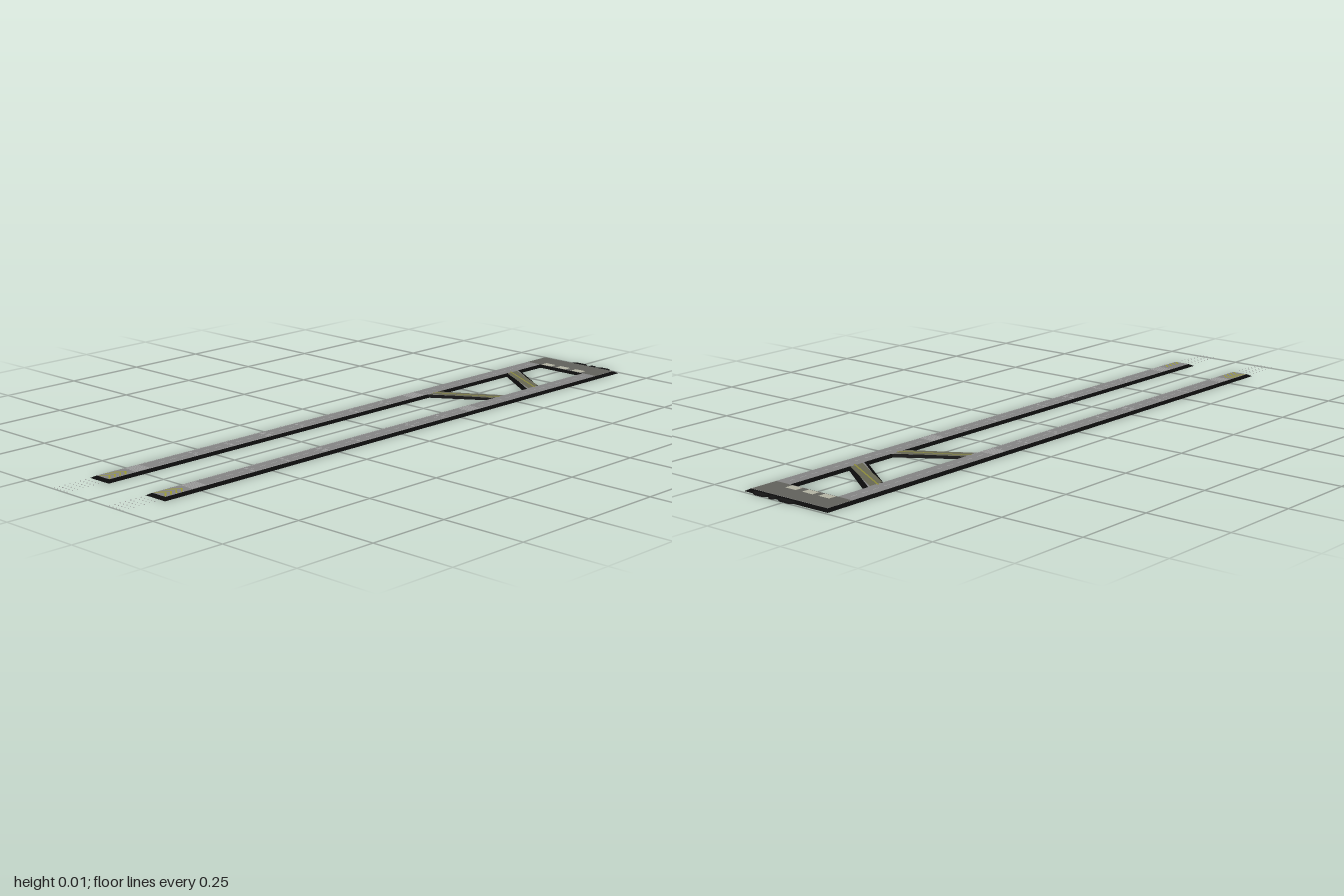
import * as THREE from 'three';
import { mergeGeometries } from 'three/addons/utils/BufferGeometryUtils.js';

const TOP = 0.0065, BEVEL = 0.012;
const MARK = TOP + 0.0004;

function mat(color) {
  return new THREE.MeshStandardMaterial({ color, side: THREE.DoubleSide, flatShading: true });
}
function add(group, name, geometry, color) {
  const mesh = new THREE.Mesh(geometry, mat(color));
  mesh.name = name;
  group.add(mesh);
}

// Points are plan [x, z] pairs; shapes use (x, -z) and are laid flat.
function toLoop(points, clockwise) {
  const loop = points.map(([x, z]) => new THREE.Vector2(x, -z));
  if (THREE.ShapeUtils.isClockWise(loop) !== clockwise) loop.reverse();
  return loop;
}
function flat(loop, y, holes = []) {
  const shape = new THREE.Shape(loop);
  shape.holes = holes.map(h => new THREE.Path(h));
  return new THREE.ShapeGeometry(shape).rotateX(-Math.PI / 2).translate(0, y, 0);
}
const poly = (points, y = MARK) => flat(toLoop(points, false), y);
const rect = (x, z, w, d, y = MARK) =>
  poly([[x - w / 2, z - d / 2], [x + w / 2, z - d / 2], [x + w / 2, z + d / 2], [x - w / 2, z + d / 2]], y);
// Slanted band of depth d from (xa, za) to (xb, zb)
const band = (xa, za, xb, zb, d, y = MARK) =>
  poly([[xa, za - d / 2], [xb, zb - d / 2], [xb, zb + d / 2], [xa, za + d / 2]], y);

// Move a loop into the solid by the bevel width, with mitred corners
function inset(loop) {
  const n = loop.length;
  const normal = (a, b) => { const d = b.clone().sub(a).normalize(); return new THREE.Vector2(-d.y, d.x); };
  return loop.map((p, i) => {
    const n1 = normal(loop[(i + n - 1) % n], p), n2 = normal(p, loop[(i + 1) % n]);
    return p.clone().addScaledVector(n1.clone().add(n2), BEVEL / (1 + n1.dot(n2)));
  });
}
function skirt(low, high) {
  const pos = [];
  low.forEach((a, i) => {
    const j = (i + 1) % low.length, b = low[j], c = high[j], d = high[i];
    pos.push(a.x, 0, -a.y, b.x, 0, -b.y, c.x, TOP, -c.y);
    pos.push(a.x, 0, -a.y, c.x, TOP, -c.y, d.x, TOP, -d.y);
  });
  const g = new THREE.BufferGeometry();
  g.setAttribute('position', new THREE.Float32BufferAttribute(pos, 3));
  g.computeVertexNormals();
  return g;
}

export function createModel() {
  const group = new THREE.Group();
  group.name = 'airfield';
  const X = 0.148, IN = 0.073, BACK = -0.992, FRONT = 0.873;

  // Ground plan: two runways, apron and two slanted taxiways
  const outer = toLoop([[-X, FRONT], [-X, BACK], [X, BACK], [X, FRONT],
    [IN, FRONT], [IN, -0.452], [-IN, -0.355], [-IN, FRONT]], false);
  const holes = [
    [[-IN, -0.88], [IN, -0.88], [IN, -0.69], [-IN, -0.79]],
    [[-IN, -0.715], [IN, -0.615], [IN, -0.522], [-IN, -0.425]],
  ].map(h => toLoop(h, true));
  const loops = [outer, ...holes], tops = loops.map(inset);
  add(group, 'pavement', flat(tops[0], TOP, tops.slice(1)), 0x858585);
  add(group, 'slopedEdges', mergeGeometries(loops.map((l, i) => skirt(l, tops[i]))), 0x0a0a0a);

  // Darker apron and taxiway surfaces
  add(group, 'apronSurface', rect(0, -0.936, 0.27, 0.086, TOP + 0.0002), 0x62625c);
  const taxiways = [[-0.752, -0.653], [-0.39, -0.487]];
  add(group, 'taxiwaySurfaces', mergeGeometries(
    taxiways.map(([a, b]) => band(-0.083, a, 0.083, b, 0.046, TOP + 0.0002))), 0x686855);
  add(group, 'taxiwayLines', mergeGeometries(
    taxiways.map(([a, b]) => band(-0.09, a, 0.09, b, 0.006))), 0x8c8a3a);

  // Stands on the apron
  add(group, 'parkingStands', mergeGeometries(
    [-0.062, -0.004, 0.056].map(x => rect(x, -0.907, 0.038, 0.025))), 0xb4b4a4);

  // Runway paint, the same on both sides
  const white = [], yellow = [], lights = [];
  const light = (x, z, y) => lights.push(new THREE.BoxGeometry(0.002, 0.0015, 0.002).translate(x, y, z));
  for (const cx of [-0.1105, 0.1105]) {
    for (let z = -0.86; z < 0.7; z += 0.04) white.push(rect(cx, z, 0.0025, 0.022));
    for (const s of [-1, 1]) {
      white.push(rect(cx + s * 0.0225, 0.19, 0.0015, 1.16));
      for (const z of [0.15, 0.28, 0.42, 0.55, -0.07, -0.2])
        white.push(rect(cx + s * 0.011, z, 0.009, z === 0.28 ? 0.02 : 0.009));
    }
    // Threshold bars
    for (const z of [-0.325, 0.745])
      for (let i = -3; i <= 3; i++) white.push(rect(cx + i * 0.006, z, 0.0042, 0.05));
    // Overrun chevrons
    for (let i = 0; i < 4; i++)
      for (const s of [-1, 1]) yellow.push(band(cx, 0.785 + i * 0.018, cx + s * 0.021, 0.803 + i * 0.018, 0.006));
    // Edge lights and approach light rows
    for (let z = -0.3; z < 0.86; z += 0.1)
      for (const s of [-1, 1]) light(cx + s * 0.0245, z, TOP + 0.0007);
    for (let r = 0; r < 7; r++)
      for (let c = -2; c <= 2; c++) light(cx + c * 0.013, 0.897 + r * 0.017, 0.003);
  }
  add(group, 'runwayMarkings', mergeGeometries(white), 0xa0a0a0);
  add(group, 'overrunChevrons', mergeGeometries(yellow), 0x9a9a30);
  add(group, 'runwayLights', mergeGeometries(lights), 0xaaaaaa);

  // Low rounded bays along the back edge
  const bays = [[-0.03, 0.026], [0.035, 0.057], [0.066, 0.116]].map(([a, b]) => {
    const e = Math.min(0.012, (b - a) / 4);
    const shape = new THREE.Shape(toLoop([[a, -0.985], [a + e * 0.3, -0.995], [a + e, -1],
      [b - e, -1], [b - e * 0.3, -0.995], [b, -0.985]], false));
    return new THREE.ExtrudeGeometry(shape, { depth: 0.005, bevelEnabled: false }).rotateX(-Math.PI / 2);
  });
  add(group, 'backBays', mergeGeometries(bays), 0x141414);
  return group;
}
